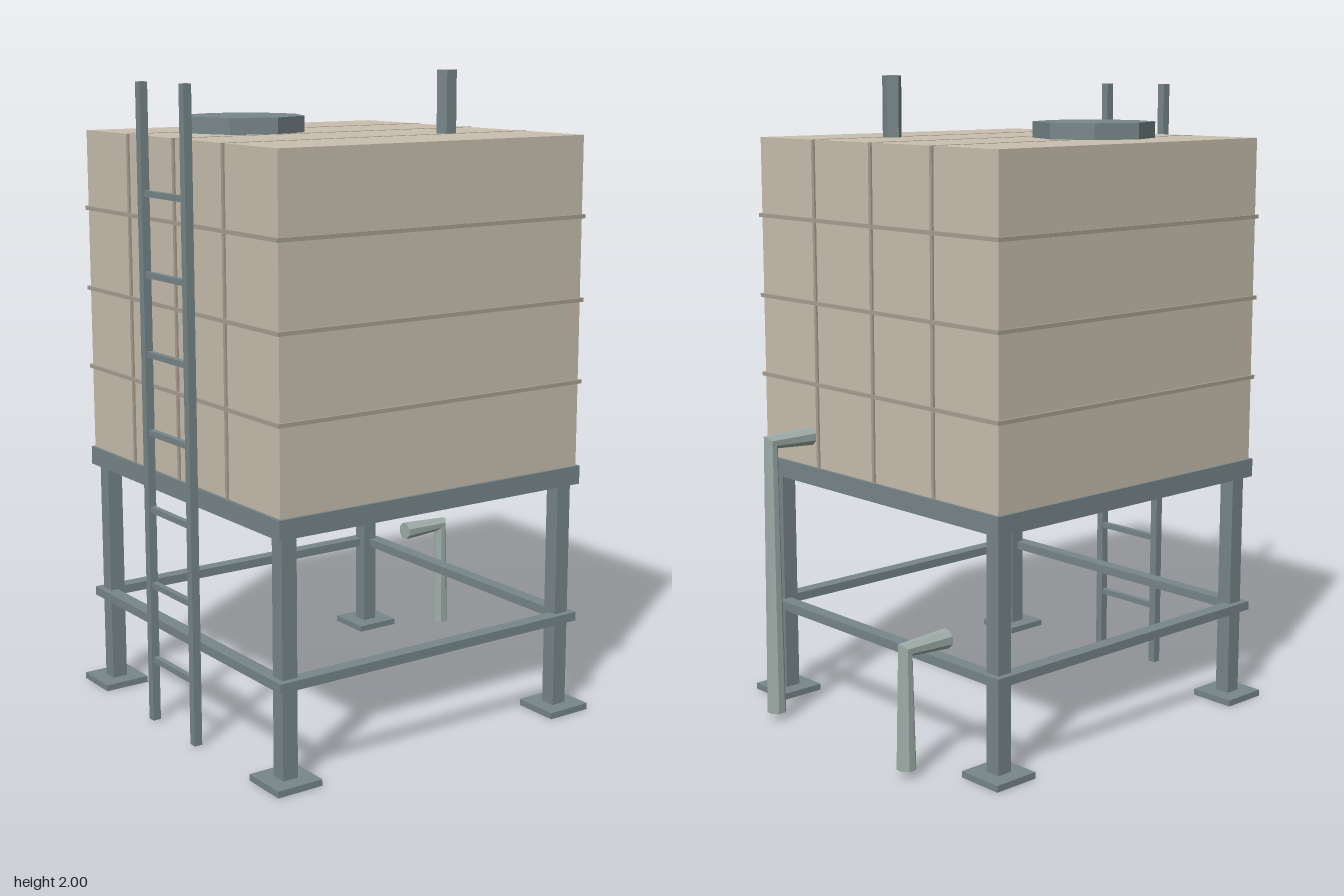
import * as THREE from 'three';

const CZ = 0.067; // tower centre in z, set back for the ladder and pipes

function material(name, color) {
  const m = new THREE.MeshStandardMaterial({ color, flatShading: true });
  m.name = name;
  return m;
}

// Bent pipe: start ring, mitred elbow ring, end ring, with closed ends
function pipeGeometry(x, yTop, zStart, zDrop, yEnd, r, sides = 8) {
  const h = Math.SQRT1_2;
  const sections = [
    { y: yTop, z: zStart, vy: -1, vz: 0, w: 1 },
    { y: yTop, z: zDrop, vy: -h, vz: h, w: 0.76 },
    { y: yEnd, z: zDrop, vy: 0, vz: 1, w: 1 },
  ];
  const point = (s, i) => {
    const a = ((i + 0.5) / sides) * Math.PI * 2;
    const v = r * Math.sin(a);
    return [x + r * s.w * Math.cos(a), s.y + v * s.vy, s.z + v * s.vz];
  };
  const pos = [];
  const tri = (...pts) => pts.forEach((p) => pos.push(...p));
  for (let i = 0; i < sides; i++) {
    for (let k = 0; k < 2; k++) {
      const a0 = point(sections[k], i), a1 = point(sections[k], i + 1);
      const b0 = point(sections[k + 1], i), b1 = point(sections[k + 1], i + 1);
      tri(a0, a1, b0);
      tri(a1, b1, b0);
    }
    const [s, , e] = sections;
    tri([x, s.y, s.z], point(s, i + 1), point(s, i));
    tri([x, e.y, e.z], point(e, i), point(e, i + 1));
  }
  const g = new THREE.BufferGeometry();
  g.setAttribute('position', new THREE.Float32BufferAttribute(pos, 3));
  g.computeVertexNormals();
  return g;
}

export function createModel() {
  const steel = material('steel', 0x78868a);
  const panel = material('tankPanel', 0xc9bfaf);
  const seam = material('panelSeam', 0xa89f92);
  const pipe = material('pipe', 0x9fada9);

  const model = new THREE.Group();
  model.name = 'waterTankTower';

  const add = (parent, name, geometry, mat, x = 0, y = 0, z = 0) => {
    const mesh = new THREE.Mesh(geometry, mat);
    mesh.name = name;
    mesh.position.set(x, y, z);
    parent.add(mesh);
    return mesh;
  };
  const box = (parent, name, mat, w, h, d, x, y, z) =>
    add(parent, name, new THREE.BoxGeometry(w, h, d), mat, x, y, z);
  const group = (name, z = 0) => {
    const g = new THREE.Group();
    g.name = name;
    g.position.z = z;
    model.add(g);
    return g;
  };

  // Legs with foot plates
  const stand = group('stand', CZ);
  for (const sx of [-1, 1]) {
    for (const sz of [-1, 1]) {
      box(stand, 'leg', steel, 0.05, 0.73, 0.05, sx * 0.51, 0.375, sz * 0.51);
      box(stand, 'footPlate', steel, 0.15, 0.02, 0.15, sx * 0.51, 0.01, sz * 0.51);
    }
  }

  // Square rings of beams: platform frame and lower brace
  const beamRing = (name, y, height, width) => {
    const c = 0.555 - width / 2;
    for (const s of [-1, 1]) {
      box(stand, name, steel, 1.11, height, width, 0, y, s * c);
      box(stand, name, steel, width, height, 1.11 - 2 * width, s * c, y, 0);
    }
  };
  beamRing('platformBeam', 0.766, 0.058, 0.08);
  beamRing('lowerBrace', 0.307, 0.028, 0.045);

  // Tank body with panel seams
  const tank = group('tank', CZ);
  box(tank, 'tankBody', panel, 1.092, 1.015, 1.092, 0, 1.3025, 0);
  for (const y of [1.06, 1.313, 1.567]) {
    box(tank, 'horizontalSeam', seam, 1.108, 0.012, 1.108, 0, y, 0);
  }
  for (const x of [-0.273, 0, 0.273]) {
    box(tank, 'verticalSeam', seam, 0.011, 1.017, 1.104, x, 1.3025, 0);
  }

  // Roof hatch and vent
  add(model, 'roofHatch', new THREE.CylinderGeometry(0.19, 0.19, 0.05, 8), steel, -0.19, 1.835, 0.255);
  add(model, 'roofVent', new THREE.CylinderGeometry(0.031, 0.031, 0.19, 5, 1, false, -Math.PI / 2),
    steel, 0.252, 1.905, -0.188);

  // Ladder
  const ladder = group('ladder', 0.647);
  for (const s of [-1, 1]) {
    box(ladder, 'ladderRail', steel, 0.026, 1.965, 0.026, s * 0.126, 0.9875, 0);
  }
  for (let i = 0; i < 7; i++) {
    box(ladder, 'ladderRung', steel, 0.23, 0.018, 0.018, 0, 0.204 + i * 0.2402, -0.002);
  }

  // Pipes at the back
  const pipes = group('pipes');
  add(pipes, 'inletPipe', pipeGeometry(0.315, 0.892, -0.475, -0.632, 0.025, 0.03), pipe);
  add(pipes, 'outletPipe', pipeGeometry(-0.32, 0.384, -0.475, -0.632, 0.025, 0.03), pipe);

  return model;
}
